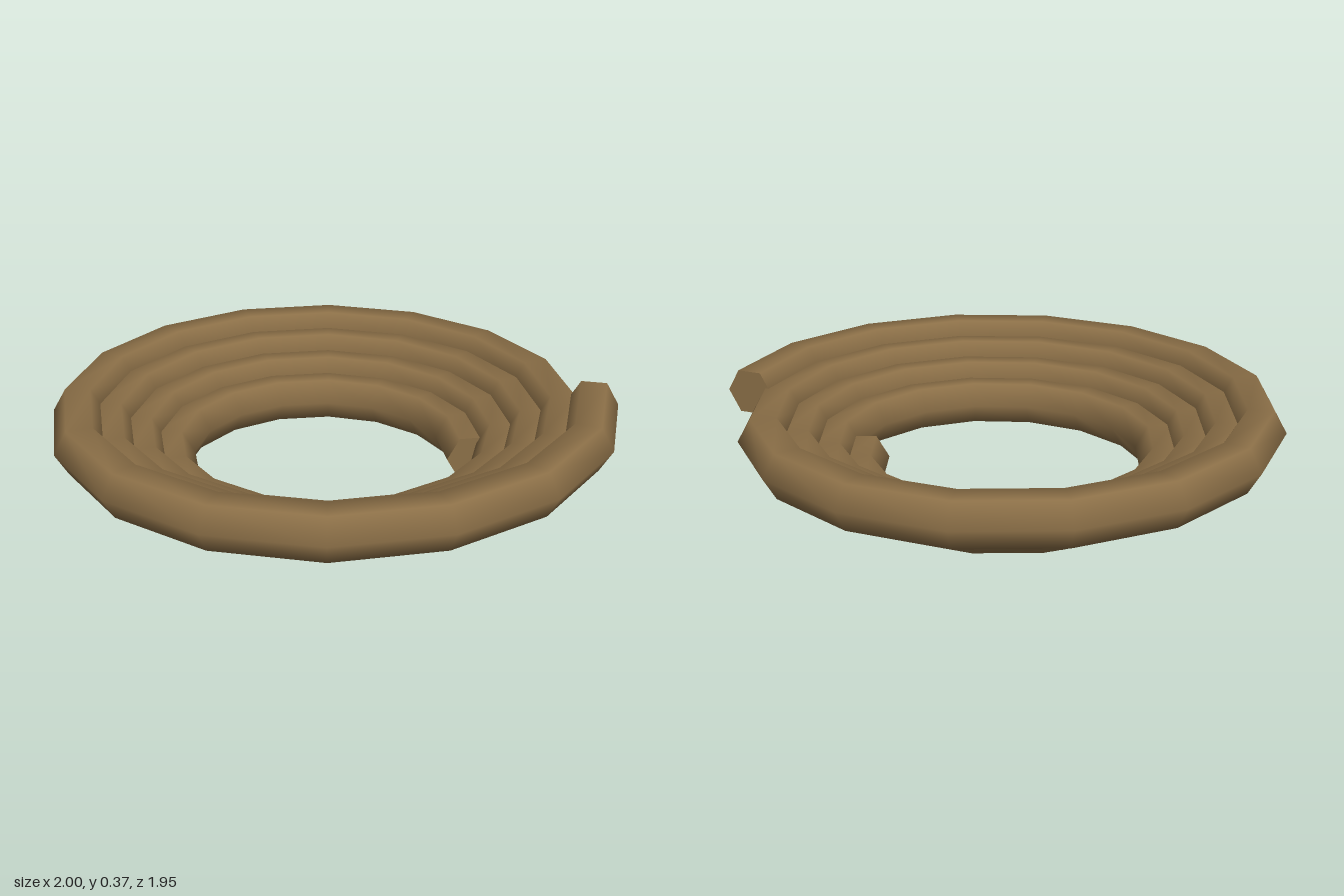
import * as THREE from 'three';

const TURNS = 4, STEPS = 64, SIDES = 6, TUBE = 0.09;

// Centre line: a spiral that widens and rises from the inner end to the outer end
function centre(i) {
  const t = (i / STEPS) * TURNS;
  const a = t * Math.PI * 2;
  const r = 0.516 + 0.105 * t;
  return new THREE.Vector3(r * Math.cos(a) - 0.026, 0.078 + 0.0547 * t, -r * Math.sin(a) - 0.026);
}

// Outward directions of the hexagonal section at one step
function sectionDirections(i) {
  const dir = centre(Math.min(i + 1, STEPS)).sub(centre(Math.max(i - 1, 0)));
  const out = new THREE.Vector3(-dir.z, 0, dir.x).normalize();
  const list = [];
  for (let j = 0; j <= SIDES; j++) {
    const a = (j / SIDES) * Math.PI * 2;
    list.push(out.clone().multiplyScalar(Math.cos(a)).add(new THREE.Vector3(0, Math.sin(a), 0)));
  }
  return list;
}

// Smooth-shaded tube joining all the sections
function coilGeometry() {
  const pos = [], nor = [], idx = [];
  const row = SIDES + 1;
  for (let i = 0; i <= STEPS; i++) {
    const c = centre(i);
    sectionDirections(i).forEach((d, j) => {
      const p = c.clone().addScaledVector(d, TUBE);
      pos.push(p.x, p.y, p.z);
      nor.push(d.x, d.y, d.z);
      if (i < STEPS && j < SIDES) {
        const a = i * row + j, b = a + 1, e = a + row, f = e + 1;
        idx.push(a, e, b, b, e, f);
      }
    });
  }
  const g = new THREE.BufferGeometry();
  g.setAttribute('position', new THREE.Float32BufferAttribute(pos, 3));
  g.setAttribute('normal', new THREE.Float32BufferAttribute(nor, 3));
  g.setIndex(idx);
  return g;
}

// Flat hexagon closing one end of the tube
function capGeometry(i) {
  const c = centre(i);
  const ring = sectionDirections(i).map((d) => c.clone().addScaledVector(d, TUBE));
  if (i > 0) ring.reverse();
  const pts = [];
  for (let j = 0; j < SIDES; j++) pts.push(c, ring[j], ring[j + 1]);
  const g = new THREE.BufferGeometry().setFromPoints(pts);
  g.computeVertexNormals();
  return g;
}

export function createModel() {
  const group = new THREE.Group();
  group.name = 'ropeCoil';
  const brown = new THREE.MeshStandardMaterial({ color: 0x8b6f47 });
  brown.name = 'ropeBrown';
  const add = (name, geometry) => {
    const mesh = new THREE.Mesh(geometry, brown);
    mesh.name = name;
    group.add(mesh);
  };
  add('coil', coilGeometry());
  add('innerEnd', capGeometry(0));
  add('outerEnd', capGeometry(STEPS));
  return group;
}
